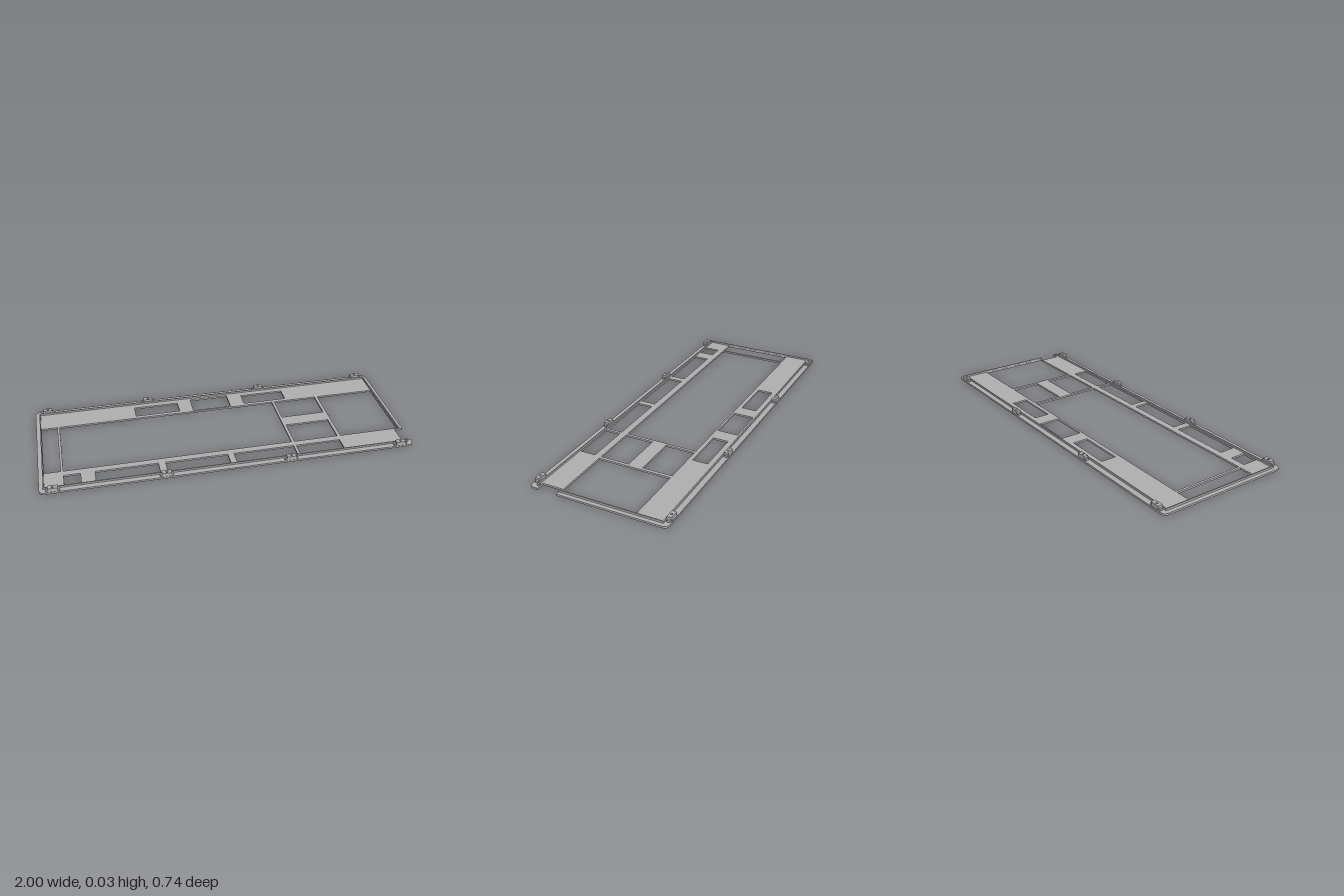
import * as THREE from 'three';

const grey = new THREE.MeshStandardMaterial({ color: 0xb0b0b0 });
grey.name = 'grey plastic';

// Extrude a plan drawn in x/z so that it fills y0..y1
function slab(name, shape, y0, y1) {
  const geo = new THREE.ExtrudeGeometry(shape, { depth: y1 - y0, bevelEnabled: false, curveSegments: 6 });
  geo.rotateX(Math.PI / 2).translate(0, y1, 0);
  const mesh = new THREE.Mesh(geo, grey);
  mesh.name = name;
  return mesh;
}

function rectPath(x0, x1, z0, z1) {
  const p = new THREE.Path();
  p.moveTo(x0, z0).lineTo(x0, z1).lineTo(x1, z1).lineTo(x1, z0).closePath();
  return p;
}

function wall(name, x0, x1, z0, z1) {
  const geo = new THREE.BoxGeometry(x1 - x0, 0.01, z1 - z0);
  const mesh = new THREE.Mesh(geo, grey);
  mesh.position.set((x0 + x1) / 2, 0.015, (z0 + z1) / 2);
  mesh.name = name;
  return mesh;
}

function createPlate() {
  const X = 1, Z = 0.371, r = 0.028;
  const s = new THREE.Shape();
  s.moveTo(-X + r, -Z).lineTo(X - r, -Z);
  s.quadraticCurveTo(X, -Z, X, -Z + r);
  // side notch
  s.lineTo(X, 0.218).lineTo(0.952, 0.218).lineTo(0.952, 0.325).lineTo(X, 0.325);
  s.lineTo(X, Z - r).quadraticCurveTo(X, Z, X - r, Z);
  s.lineTo(-X + r, Z).quadraticCurveTo(-X, Z, -X, Z - r);
  s.lineTo(-X, -Z + r).quadraticCurveTo(-X, -Z, -X + r, -Z);

  const windows = [
    // large middle openings
    [-0.972, -0.885, -0.196, 0.21], [-0.872, 0.358, -0.196, 0.21],
    [0.374, 0.62, -0.196, -0.031], [0.374, 0.62, 0.049, 0.21],
    [0.638, 0.972, -0.196, 0.21],
    // back row
    [-0.438, -0.187, -0.303, -0.218], [-0.107, 0.112, -0.321, -0.207],
    [0.196, 0.444, -0.303, -0.218],
  ];
  // front row
  for (const [a, b] of [[-0.872, -0.786], [-0.711, -0.38], [-0.342, -0.007], [0.027, 0.358], [0.374, 0.62]])
    windows.push([a, b, 0.247, 0.333]);
  for (const w of windows) s.holes.push(rectPath(...w));
  return slab('framePlate', s, 0, 0.01);
}

// Clip: bored block with a rounded foot on each side
function createClip() {
  const clip = new THREE.Group();
  clip.name = 'clip';
  const block = new THREE.Shape();
  block.moveTo(-0.025, -0.013).lineTo(0.025, -0.013).lineTo(0.025, 0.013).lineTo(-0.025, 0.013).closePath();
  const bore = new THREE.Path();
  bore.absarc(0, 0, 0.006, 0, Math.PI * 2, true);
  block.holes.push(bore);
  clip.add(slab('clipBlock', block, 0.01, 0.032));
  for (const side of [-1, 1]) {
    const foot = new THREE.Shape();
    foot.moveTo(side * 0.025, -0.009).lineTo(side * 0.031, -0.009);
    foot.quadraticCurveTo(side * 0.036, -0.009, side * 0.036, -0.004);
    foot.lineTo(side * 0.036, 0.004);
    foot.quadraticCurveTo(side * 0.036, 0.009, side * 0.031, 0.009);
    foot.lineTo(side * 0.025, 0.009);
    clip.add(slab('clipFoot', foot, 0.01, 0.02));
  }
  return clip;
}

export function createModel() {
  const model = new THREE.Group();
  model.name = 'keyboardFrame';
  model.add(createPlate());

  // raised lip, interrupted at the notch
  const LX = 0.979, LZ = 0.342, t = 0.006;
  model.add(wall('backLip', -LX, LX, -LZ, -LZ + t));
  model.add(wall('frontLip', -LX, LX, LZ - t, LZ));
  model.add(wall('rightLip', -LX, -LX + t, -LZ + t, LZ - t));
  model.add(wall('leftLip', LX - t, LX, -LZ + t, 0.218));
  model.add(wall('leftLipEnd', LX - t, LX, 0.325, LZ - t));

  // clips along both long edges
  for (const z of [-0.356, 0.356])
    for (const x of [-0.93, -0.352, 0.313, 0.927]) {
      const clip = createClip();
      clip.position.set(x, 0, z);
      model.add(clip);
    }
  return model;
}
